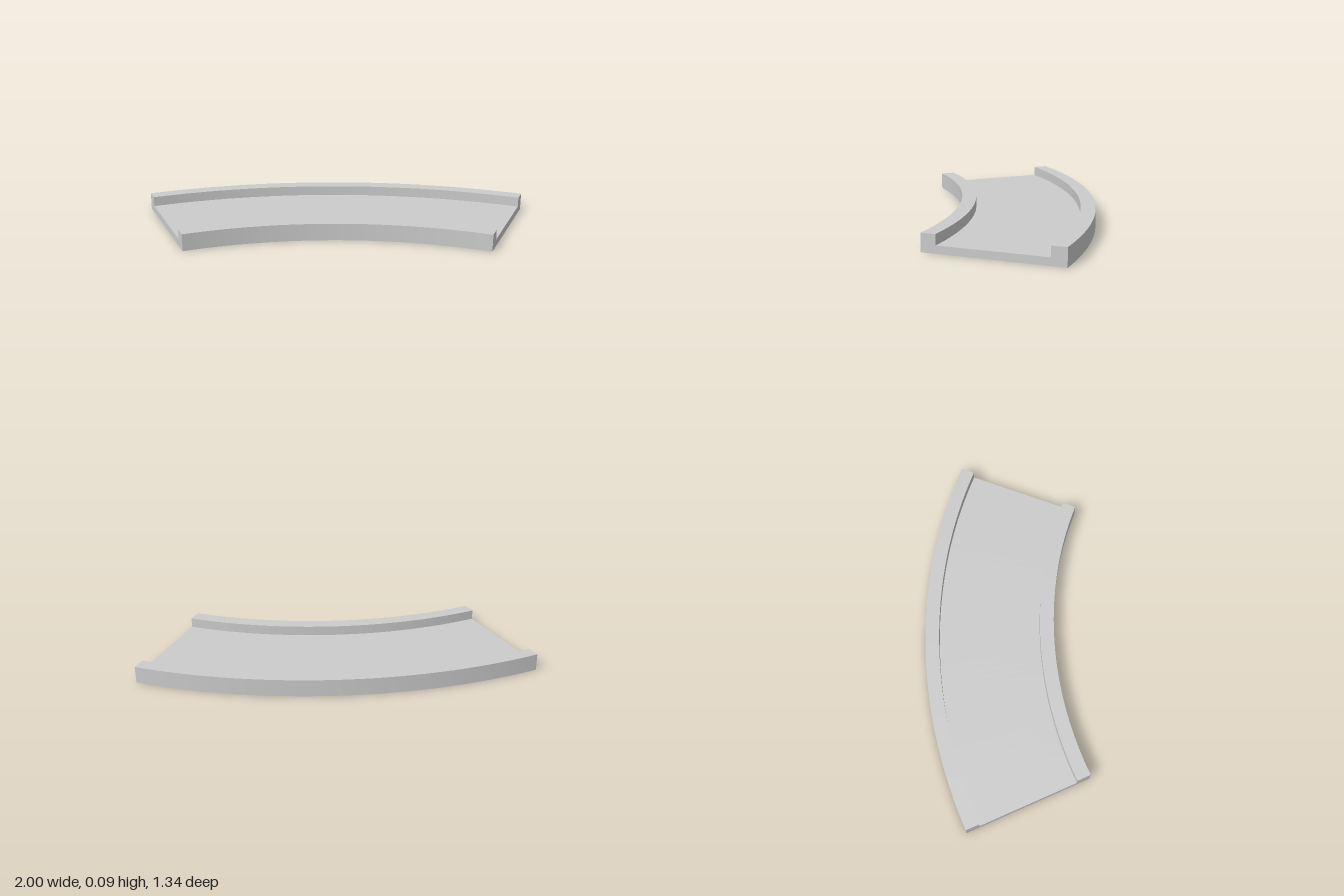
import * as THREE from 'three';
import { toCreasedNormals } from 'three/addons/utils/BufferGeometryUtils.js';

// Curved channel: a U-shaped section swept through 45 degrees
const INNER = 2.105, OUTER = 2.828, LIP = 0.078;
const FLOOR = 0.04, HEIGHT = 0.094;
const START = Math.PI, SWEEP = Math.PI / 4;

// Section as [radius, height], counter-clockwise
const section = [
  [INNER, 0], [OUTER, 0], [OUTER, HEIGHT], [OUTER - LIP, HEIGHT],
  [OUTER - LIP, FLOOR], [INNER + LIP, FLOOR], [INNER + LIP, HEIGHT], [INNER, HEIGHT],
];

// Flat end face at an angle; side +1 faces along the sweep, -1 against it
function endCap(angle, side) {
  const shape = new THREE.Shape(section.map(([r, y]) => new THREE.Vector2(-side * r, y)));
  const turn = angle - Math.PI / 2 + (side > 0 ? Math.PI : 0);
  return new THREE.ShapeGeometry(shape).rotateY(turn);
}

export function createModel() {
  const group = new THREE.Group();
  group.name = 'curvedTrack';
  const material = new THREE.MeshStandardMaterial({ color: 0xcccccc });

  const add = (name, geometry) => {
    const mesh = new THREE.Mesh(geometry, material);
    mesh.name = name;
    mesh.position.set(1, 0, 2.156); // centre of the bend
    group.add(mesh);
  };

  // Floor, lips and side walls
  const points = [...section, section[0]].map(([r, y]) => new THREE.Vector2(r, y));
  const channel = new THREE.LatheGeometry(points, 48, START, SWEEP);
  add('channel', toCreasedNormals(channel, Math.PI / 6));

  // Ends
  add('leftEnd', endCap(START, -1));
  add('rightEnd', endCap(START + SWEEP, 1));

  return group;
}
